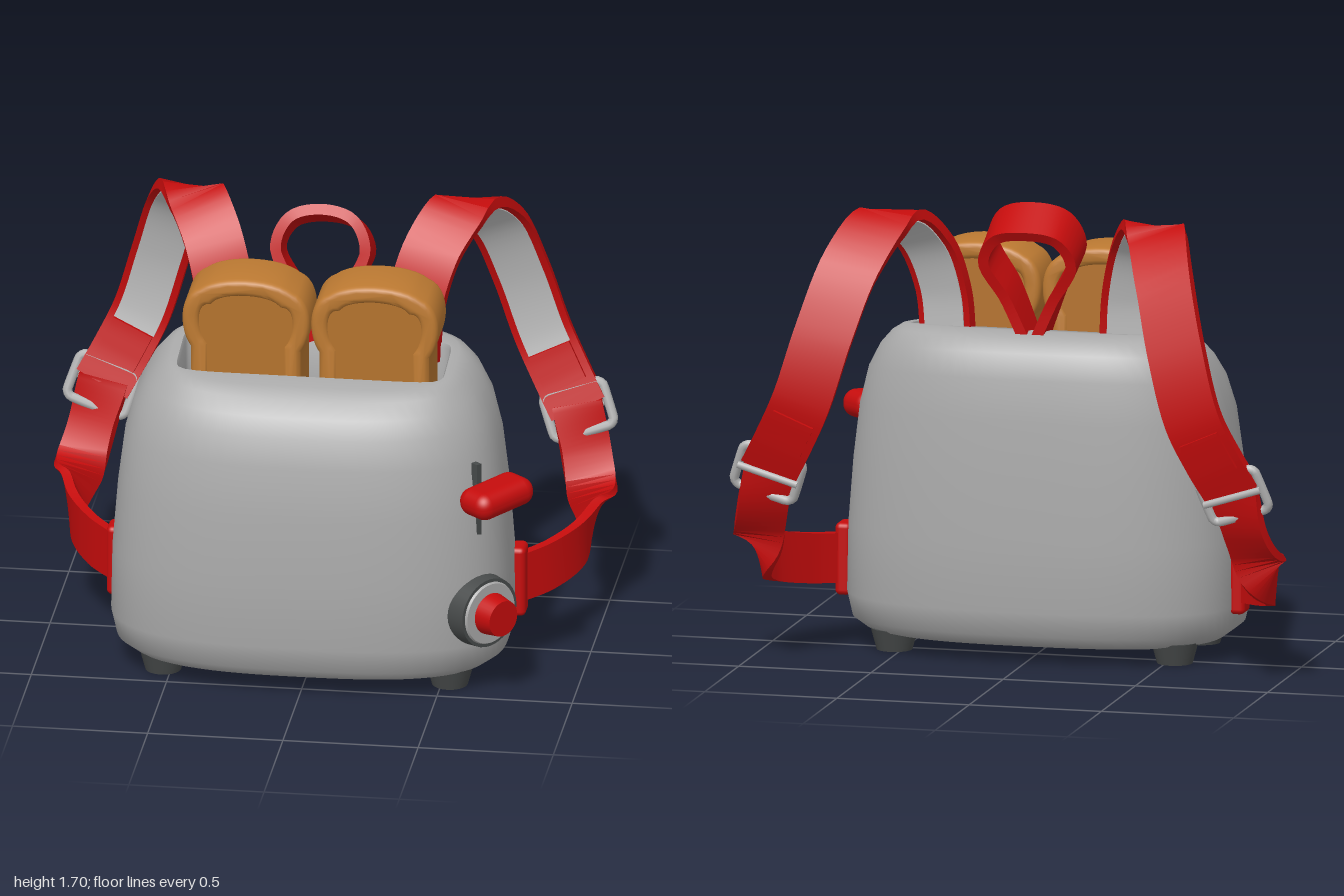
import * as THREE from 'three';
import { toCreasedNormals } from 'three/addons/utils/BufferGeometryUtils.js';
import { RoundedBoxGeometry } from 'three/addons/geometries/RoundedBoxGeometry.js';

const V = (x, y, z) => new THREE.Vector3(x, y, z);

function material(name, color) {
  const m = new THREE.MeshStandardMaterial({ color });
  m.name = name;
  return m;
}

function part(parent, name, geometry, mat, x = 0, y = 0, z = 0) {
  const mesh = new THREE.Mesh(geometry, mat);
  mesh.name = name;
  mesh.position.set(x, y, z);
  parent.add(mesh);
  return mesh;
}

// Rounded shell lofted upward, then over the rim and down into the bread slot.
// Each ring: [height, half width, front z, back z, squareness]
function bodyGeometry() {
  const rings = [
    [0.06, 0.001, 0.19, 0.188, 2.8], [0.06, 0.62, 0.52, -0.17, 2.8], [0.072, 0.67, 0.56, -0.205, 2.8],
    [0.11, 0.72, 0.595, -0.24, 2.8], [0.2, 0.74, 0.61, -0.255, 2.8], [0.45, 0.735, 0.61, -0.255, 2.8],
    [0.7, 0.715, 0.595, -0.247, 2.8], [0.9, 0.69, 0.57, -0.235, 2.8], [1.03, 0.655, 0.54, -0.22, 2.8],
    [1.11, 0.61, 0.505, -0.195, 2.9], [1.16, 0.565, 0.455, -0.15, 3.1], [1.185, 0.525, 0.4, -0.08, 4],
    [1.185, 0.495, 0.325, 0.02, 9], [1.17, 0.488, 0.312, 0.03, 12], [0.98, 0.488, 0.312, 0.03, 12],
    [0.98, 0.001, 0.18, 0.178, 12],
  ];
  const n = 80, pos = [], index = [];
  rings.forEach(([y, hx, front, back, e], i) => {
    const lean = 0.14 * THREE.MathUtils.smoothstep(y, 0.85, 1.18);
    for (let j = 0; j < n; j++) {
      const c = Math.cos(j / n * Math.PI * 2), s = Math.sin(j / n * Math.PI * 2);
      const r = Math.pow(Math.abs(c) ** e + Math.abs(s) ** e, -1 / e);
      const z = (front + back) / 2 + r * s * (front - back) / 2;
      pos.push(r * c * hx, y - lean * (z - 0.18), z);
      if (i === rings.length - 1) continue;
      const a = i * n + j, b = i * n + (j + 1) % n;
      index.push(a, a + n, b + n, a, b + n, b);
    }
  });
  const g = new THREE.BufferGeometry();
  g.setAttribute('position', new THREE.Float32BufferAttribute(pos, 3));
  g.setIndex(index);
  return toCreasedNormals(g, 0.9);
}

// Flat strap swept along points, its width following the given directions
function bandGeometry(points, widths, width, thick, offset = 0, from = 0, to = 1, steps = 48) {
  const path = new THREE.CatmullRomCurve3(points), dirs = new THREE.CatmullRomCurve3(widths);
  const rows = [], pos = [];
  for (let i = 0; i <= steps; i++) {
    const t = from + (to - from) * i / steps;
    const p = path.getPoint(t), T = path.getTangent(t), W = dirs.getPoint(t);
    W.addScaledVector(T, -W.dot(T)).normalize();
    const N = T.clone().cross(W);
    rows.push([[-1, -1], [1, -1], [1, 1], [-1, 1]].map(([u, v]) => p.clone()
      .addScaledVector(W, u * width / 2).addScaledVector(N, v * thick / 2 + offset)));
  }
  const quad = (a, b, c, d) => [a, b, c, a, c, d].forEach(p => pos.push(p.x, p.y, p.z));
  for (let i = 0; i < steps; i++) {
    for (let k = 0; k < 4; k++) {
      const m = (k + 1) % 4;
      quad(rows[i][k], rows[i][m], rows[i + 1][m], rows[i + 1][k]);
    }
  }
  quad(...[...rows[0]].reverse());
  quad(...rows[steps]);
  const g = new THREE.BufferGeometry();
  g.setAttribute('position', new THREE.Float32BufferAttribute(pos, 3));
  return toCreasedNormals(g, 0.7);
}

// Bread outline: straight sides under a bulging top
function breadShape(k) {
  const s = new THREE.Shape(), w = 0.205 - k, b = 0.232 - k, top = 0.52 - k;
  s.moveTo(-w, k);
  s.lineTo(w, k);
  s.lineTo(w, 0.25);
  s.bezierCurveTo(b + 0.015, 0.3, b + 0.02, 0.43, b - 0.05, top - 0.045);
  s.bezierCurveTo(0.1, top + 0.008, -0.1, top + 0.008, -b + 0.05, top - 0.045);
  s.bezierCurveTo(-b - 0.02, 0.43, -b - 0.015, 0.3, -w, 0.25);
  s.closePath();
  return s;
}

export function createModel() {
  const model = new THREE.Group();
  model.name = 'toasterBackpack';
  const grey = material('shellGrey', 0xa9a9a9);
  const red = material('strapRed', 0xc40c0c);
  const lining = material('liningGrey', 0xc2c2c2);
  const metal = material('buckleMetal', 0xb4b4b4);
  const dark = material('darkRubber', 0x474a4a);
  const crust = material('crustBrown', 0xbd7a32);
  const crumb = material('crumbBrown', 0xb4722c);

  part(model, 'body', bodyGeometry(), grey);

  // Feet
  for (const x of [-0.53, 0.53]) for (const z of [-0.035, 0.37]) {
    part(model, 'foot', new THREE.CylinderGeometry(0.088, 0.066, 0.08, 20), dark, x, 0.04, z);
  }

  // Toast: crust frame around a slightly recessed crumb
  for (const x of [-0.238, 0.238]) {
    const slice = new THREE.Group();
    slice.name = 'toast';
    slice.position.set(x, 1, 0.17);
    model.add(slice);
    const frame = breadShape(0.02);
    frame.holes.push(breadShape(0.045));
    const rim = new THREE.ExtrudeGeometry(frame, {
      depth: 0.19, bevelThickness: 0.025, bevelSize: 0.02, bevelSegments: 3, curveSegments: 12,
    });
    part(slice, 'crust', toCreasedNormals(rim, 0.7), crust, 0, 0, -0.095);
    const middle = new THREE.ExtrudeGeometry(breadShape(0.035), { depth: 0.216, bevelEnabled: false });
    part(slice, 'crumb', toCreasedNormals(middle, 0.7), crumb, 0, 0, -0.108);
  }

  // Lever and dial sit on the front left corner, facing outward
  const controls = new THREE.Group();
  controls.name = 'controls';
  controls.position.set(0.645, 0, 0.435);
  controls.rotation.y = 0.86;
  model.add(controls);
  part(controls, 'leverSlot', new THREE.BoxGeometry(0.022, 0.38, 0.03), dark, 0, 0.71, -0.012);
  part(controls, 'leverStem', new THREE.BoxGeometry(0.03, 0.03, 0.08), dark, 0, 0.81, 0.03);
  const lever = part(controls, 'leverKnob', new RoundedBoxGeometry(0.27, 0.105, 0.16, 5, 0.05), red, 0, 0.805, 0.1);
  lever.rotation.z = 0.08;
  const disc = (name, r0, r1, depth, z, mat) => {
    part(controls, name, new THREE.CylinderGeometry(r1, r0, depth, 36), mat, 0, 0.33, z).rotation.x = Math.PI / 2;
  };
  disc('dialBase', 0.14, 0.132, 0.08, 0.02, dark);
  disc('dialFace', 0.12, 0.115, 0.01, 0.064, grey);
  disc('dialKnob', 0.08, 0.068, 0.075, 0.1, red);

  // Shoulder straps, mirrored left and right
  const upper = [[0.34, 1.14, 0.02], [0.355, 1.35, 0.0], [0.41, 1.54, -0.07], [0.5, 1.645, -0.22], [0.59, 1.51, -0.43],
    [0.665, 1.27, -0.545], [0.74, 1.02, -0.585], [0.81, 0.87, -0.565], [0.88, 0.74, -0.53]];
  const upperWide = [[1, 0, 0.3], [1, 0, 0.25], [1, 0, 0.1], [1, 0, -0.2], [1, 0.1, -0.2],
    [1, 0.2, -0.1], [1, 0.25, -0.1], [1, 0.3, -0.1], [1, 0.3, -0.1]];
  const lower = [[0.875, 0.76, -0.53], [0.915, 0.58, -0.49], [0.955, 0.42, -0.37], [0.94, 0.36, -0.2],
    [0.85, 0.325, -0.04], [0.73, 0.31, 0.09]];
  const lowerWide = [[0.95, 0.25, -0.1], [0.75, 0.4, -0.5], [0.3, 0.85, -0.4], [0.1, 1, -0.05], [0, 1, 0], [0, 1, 0]];
  for (const s of [1, -1]) {
    const strap = new THREE.Group();
    strap.name = s > 0 ? 'leftStrap' : 'rightStrap';
    model.add(strap);
    const at = list => list.map(([x, y, z]) => V(s * x, y, z));
    const wide = list => list.map(([x, y, z]) => V(x, s * y, s * z));
    const up = at(upper), upW = wide(upperWide);
    part(strap, 'upperStrap', bandGeometry(up, upW, 0.215, 0.04), red);
    part(strap, 'strapLining', bandGeometry(up, upW, 0.165, 0.006, 0.022, 0.02, 0.8), lining);
    part(strap, 'strapSleeve', bandGeometry(up, upW, 0.16, 0.075, 0.005, 0.8, 0.92, 8), red);
    part(strap, 'lowerStrap', bandGeometry(at(lower), wide(lowerWide), 0.185, 0.035), red);
    part(strap, 'anchorTab', new RoundedBoxGeometry(0.06, 0.27, 0.1, 3, 0.02), red, s * 0.745, 0.31, 0.08);

    // Buckle frame with a middle bar
    const buckle = new THREE.Group();
    buckle.name = 'buckle';
    buckle.position.set(s * 0.88, 0.735, -0.53);
    const T = V(s * 0.3, -0.85, 0.2).normalize(), W = V(1, s * 0.3, s * -0.1);
    W.addScaledVector(T, -W.dot(T)).normalize();
    buckle.quaternion.setFromRotationMatrix(new THREE.Matrix4().makeBasis(W, T, W.clone().cross(T)));
    strap.add(buckle);
    const loop = [[-1, -0.75], [-0.8, -1], [0.8, -1], [1, -0.75], [1, 0.75], [0.8, 1], [-0.8, 1], [-1, 0.75]]
      .map(([u, v]) => V(u * 0.115, v * 0.085, 0));
    const frame = new THREE.CatmullRomCurve3(loop, true, 'catmullrom', 0.15);
    part(buckle, 'buckleFrame', new THREE.TubeGeometry(frame, 64, 0.018, 8, true), metal);
    part(buckle, 'buckleBar', new THREE.CylinderGeometry(0.014, 0.014, 0.23, 8), metal, 0, 0, 0.02).rotation.z = Math.PI / 2;
  }

  // Carrying loop at the back of the rim, leaning backward
  const half = [[0.02, 1.19, -0.03], [0.09, 1.36, -0.04], [0.165, 1.51, -0.07], [0.115, 1.61, -0.1]];
  const loopPath = [...half.map(p => V(...p)), V(0, 1.635, -0.115),
    ...half.map(([x, y, z]) => V(-x, y, z)).reverse()];
  const loopWide = loopPath.map((p, i) => V(0, -0.6 * Math.sin(i / 8 * Math.PI), -1));
  part(model, 'carryLoop', bandGeometry(loopPath, loopWide, 0.17, 0.04), red);

  return model;
}
